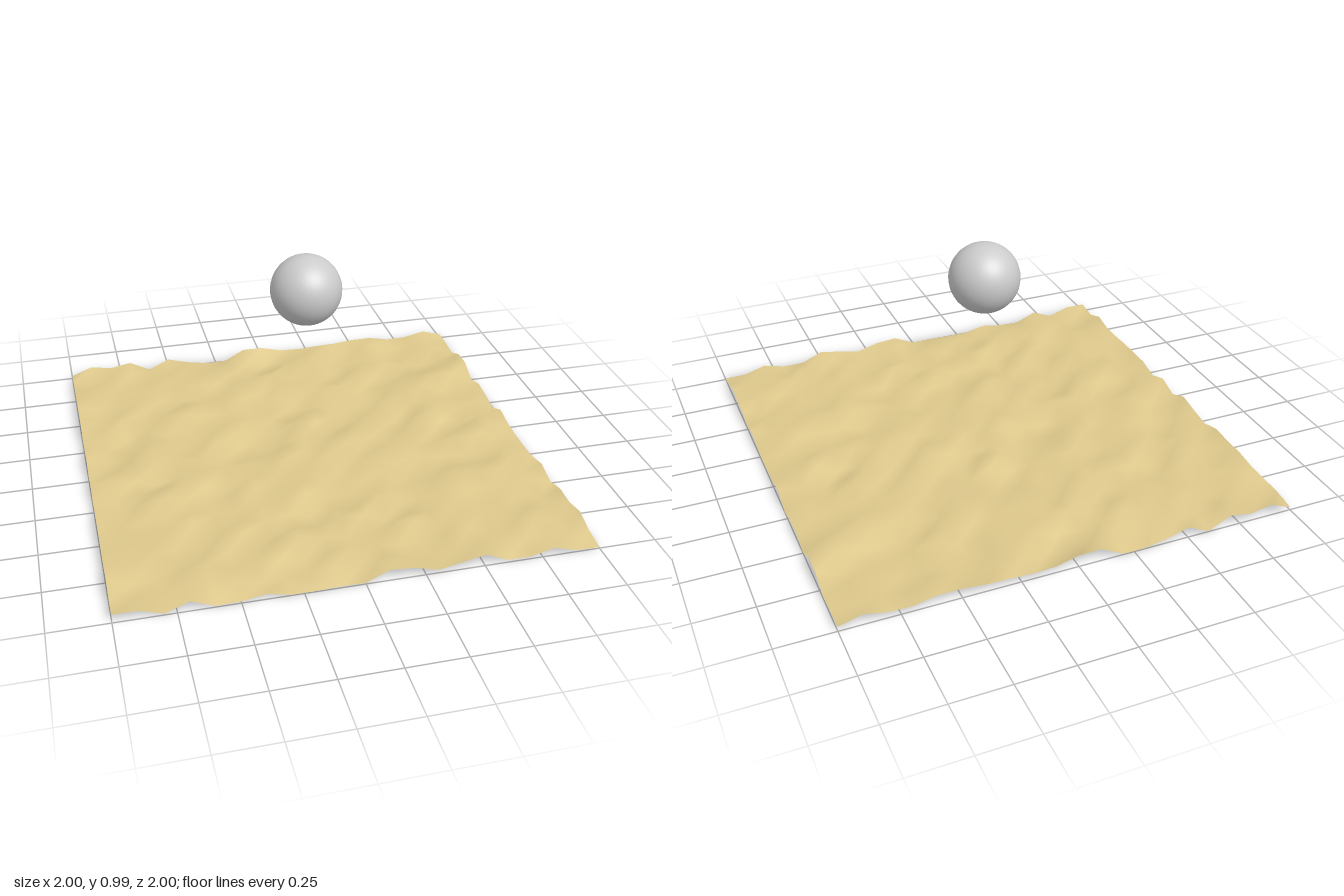
import * as THREE from 'three';

const SEGMENTS = 20;
const RELIEF = 0.058;

// Small seeded generator, values from 0 to 1
function seeded(seed) {
  let s = seed;
  return () => {
    s = (Math.imul(s, 1664525) + 1013904223) >>> 0;
    return s / 4294967296;
  };
}

// Square sheet of sand with a random height at each grid point
function createSand() {
  const geometry = new THREE.PlaneGeometry(2, 2, SEGMENTS, SEGMENTS);
  geometry.rotateX(-Math.PI / 2);
  const random = seeded(7);
  const position = geometry.attributes.position;
  for (let i = 0; i < position.count; i++) position.setY(i, random() * RELIEF);
  // Rest the lowest point on the floor
  geometry.computeBoundingBox();
  geometry.translate(0, -geometry.boundingBox.min.y, 0);
  geometry.computeVertexNormals();
  const material = new THREE.MeshStandardMaterial({ color: 0xdec98c, side: THREE.DoubleSide });
  const sand = new THREE.Mesh(geometry, material);
  sand.name = 'sandGround';
  return sand;
}

// Smooth ball floating above the middle of the sand
function createBall() {
  const ball = new THREE.Mesh(
    new THREE.SphereGeometry(0.157, 32, 32),
    new THREE.MeshStandardMaterial({ color: 0xcccccc })
  );
  ball.position.y = 0.836;
  ball.name = 'floatingBall';
  return ball;
}

export function createModel() {
  const model = new THREE.Group();
  model.name = 'ballOverSand';
  model.add(createSand(), createBall());
  return model;
}
